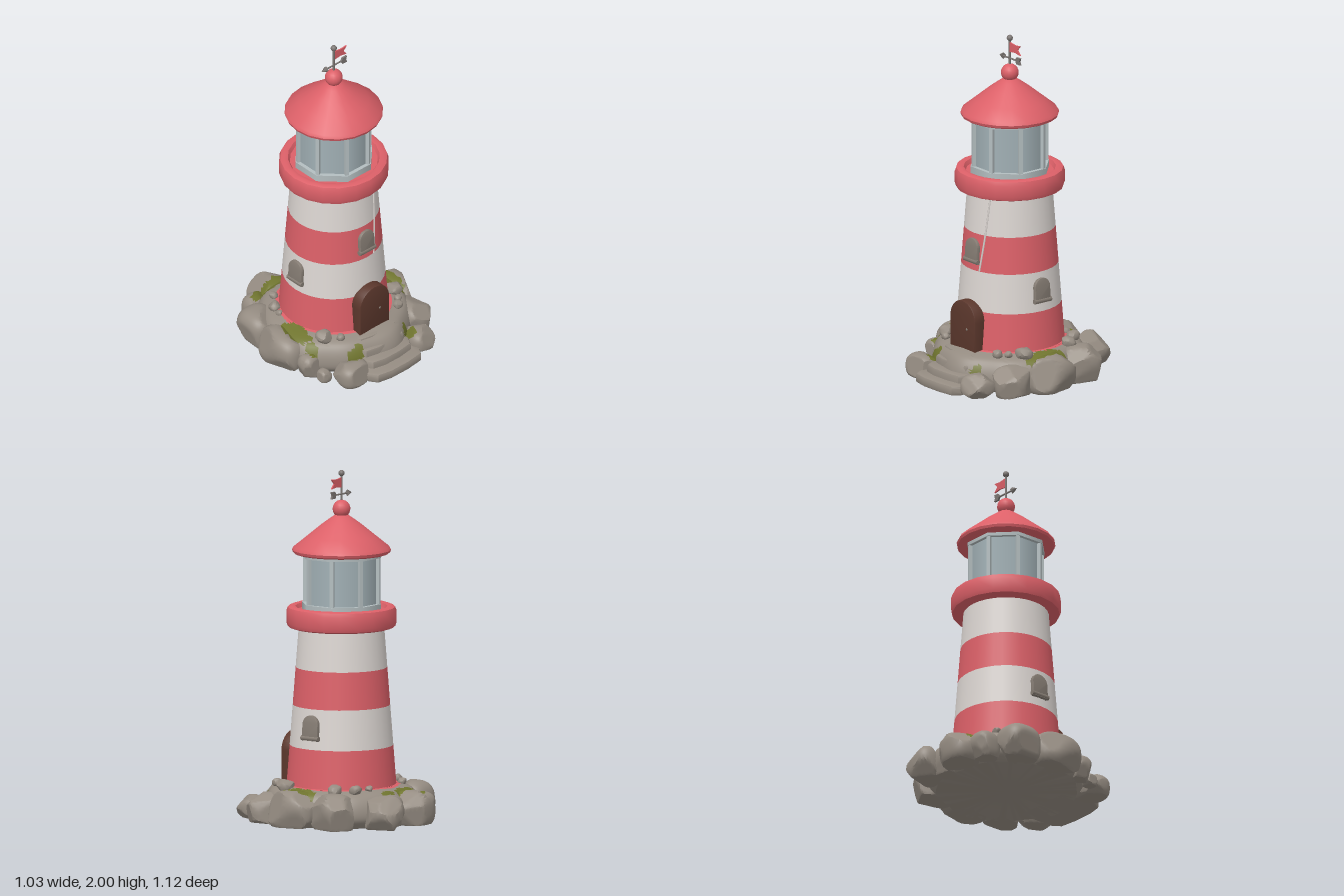
import * as THREE from 'three';
import { toCreasedNormals } from 'three/addons/utils/BufferGeometryUtils.js';

const mat = (name, color) => Object.assign(new THREE.MeshStandardMaterial({ color }), { name });
const RED = mat('coral red', 0xdc6068), WHITE = mat('warm white', 0xdcd6d2), STONE = mat('stone', 0x958c82);
const MOSS = mat('moss', 0x70752f), DARK = mat('dark wood', 0x5b372c), WOOD = mat('door wood', 0x6d4436);
const METAL = mat('metal', 0x7c7673), GLASS = mat('glass', 0xa3b2b7), FRAME = mat('lantern frame', 0xb4bec0);
const TRIM = mat('window stone', 0x857c73);
FRAME.side = RED.side = THREE.DoubleSide;

const AXIS_Z = -0.02;
const towerRadius = y => 0.312 - 0.0767 * (y - 0.2);
const V2 = (x, y) => new THREE.Vector2(x, y);

export function createModel() {
  const model = new THREE.Group();
  model.name = 'lighthouse';

  const add = (parent, name, geo, material, x = 0, y = 0, z = 0) => {
    const m = new THREE.Mesh(geo, material);
    m.name = name;
    m.position.set(x, y, z);
    parent.add(m);
    return m;
  };
  const lathe = (pts, seg, crease = 0.7) =>
    toCreasedNormals(new THREE.LatheGeometry(pts.map(p => V2(...p)), seg), crease);

  // ---------- Rocky island: faces sorted into stone, moss and red stain ----------
  // Moss patches: x, z, half width, half depth
  const patches = [[-0.15, -0.395, 0.15, 0.04], [0.06, -0.40, 0.05, 0.025], [-0.36, 0.05, 0.055, 0.11],
    [-0.37, 0.2, 0.03, 0.04], [0.375, 0.02, 0.05, 0.13], [-0.19, 0.38, 0.055, 0.035], [0.2, 0.4, 0.035, 0.045]];
  const isMoss = p => p.y > 0.07 && patches.some(([x, z, a, b]) =>
    ((p.x - x) / a) ** 2 + ((p.z - z) / b) ** 2 < 1 + 0.3 * Math.sin(p.x * 90) * Math.cos(p.z * 80));
  const isStain = p => p.y > 0.19 && Math.hypot(p.x, p.z - AXIS_Z) < 0.33;
  const paint = geo => {
    const pos = geo.attributes.position, lists = [[], [], []];
    const c = new THREE.Vector3(), v = new THREE.Vector3();
    for (let i = 0; i < pos.count; i += 3) {
      c.set(0, 0, 0);
      for (let k = 0; k < 3; k++) c.addScaledVector(v.fromBufferAttribute(pos, i + k), 1 / 3);
      lists[isMoss(c) ? 1 : isStain(c) ? 2 : 0].push(i, i + 1, i + 2);
    }
    geo.setIndex(lists.flat());
    let start = 0;
    lists.forEach((l, g) => { if (l.length) geo.addGroup(start, l.length, g); start += l.length; });
    return geo;
  };
  const ground = [STONE, MOSS, RED];
  const island = new THREE.Group();
  island.name = 'island';
  model.add(island);

  const shore = new THREE.SplineCurve([[0.4, 0], [0.44, 0.05], [0.435, 0.12], [0.4, 0.18], [0.34, 0.205], [0.29, 0.212]]
    .map(p => V2(...p))).getPoints(28);
  const mound = new THREE.LatheGeometry([V2(0, 0), ...shore, V2(0, 0.212)], 110);
  const mp = mound.attributes.position;
  for (let i = 0; i < mp.count; i++) {
    const x = mp.getX(i), z = mp.getZ(i), a = Math.atan2(x, z);
    const k = 1 + (Math.hypot(x, z) > 0.33 ? 0.025 * Math.sin(5 * a + 1) + 0.015 * Math.sin(9 * a) : 0);
    mp.setX(i, x * k);
    mp.setZ(i, z * k - 0.01);
  }
  add(island, 'mound', paint(toCreasedNormals(mound, 0.8)), ground);

  // Boulder: a squared-off ball chiselled by a few seeded planes, flat underneath
  let seed = 7;
  const rnd = () => (seed = (seed * 16807) % 2147483647) / 2147483647;
  const boulder = (x, y, z, rx, ry, rz, detail) => {
    const geo = new THREE.IcosahedronGeometry(1, detail), p = geo.attributes.position, v = new THREE.Vector3();
    const cuts = Array.from({ length: 9 }, () => new THREE.Vector4(
      ...new THREE.Vector3(rnd() - 0.5, rnd() - 0.4, rnd() - 0.5).normalize().toArray(), 0.8 + 0.15 * rnd()));
    const soft = t => Math.sign(t) * Math.abs(t) ** 0.72;
    for (let i = 0; i < p.count; i++) {
      v.fromBufferAttribute(p, i);
      v.set(soft(v.x), soft(v.y), soft(v.z));
      for (const c of cuts) {
        const over = v.x * c.x + v.y * c.y + v.z * c.z - c.w;
        if (over > 0) v.addScaledVector(c, -over);
      }
      p.setXYZ(i, x + v.x * rx, Math.max(0, y + v.y * ry), z + v.z * rz);
    }
    return paint(toCreasedNormals(geo, 0.55));
  };
  // x, z, half width, half depth, height
  [[-0.09, -0.45, 0.135, 0.115, 0.19], [0.18, -0.455, 0.105, 0.11, 0.19], [0.37, -0.24, 0.11, 0.13, 0.2],
    [0.4, 0.015, 0.112, 0.155, 0.205], [0.36, 0.25, 0.1, 0.115, 0.17], [0.25, 0.41, 0.085, 0.1, 0.13],
    [-0.25, 0.4, 0.1, 0.095, 0.13], [-0.36, 0.295, 0.04, 0.04, 0.07], [-0.39, 0.2, 0.065, 0.06, 0.14],
    [-0.405, 0, 0.108, 0.155, 0.205], [-0.37, -0.245, 0.11, 0.12, 0.2], [-0.25, -0.395, 0.08, 0.08, 0.16],
    [0.06, -0.4, 0.08, 0.08, 0.18]]
    .forEach(([x, z, rx, rz, h]) => add(island, 'boulder', boulder(x, h * 0.42, z, rx, h * 0.6, rz, 7), ground));

  // Pebbles around the foot of the tower
  [[0.14, -0.32, 0.022], [0.23, -0.295, 0.036], [0.31, -0.2, 0.04], [-0.225, -0.28, 0.026], [-0.29, -0.2, 0.033],
    [-0.315, -0.135, 0.018], [0.32, 0.135, 0.048], [0.28, 0.215, 0.022], [0.235, 0.258, 0.028], [-0.285, 0.205, 0.045],
    [-0.215, 0.272, 0.024]]
    .forEach(([x, z, r]) => add(island, 'pebble', toCreasedNormals(boulder(x, 0.215, z, r, r * 0.85, r, 2).toNonIndexed(), 0.6), STONE));

  // Steps leading up to the door: half width, front z, top y
  [[0.18, 0.55, 0.06], [0.155, 0.485, 0.105], [0.15, 0.425, 0.15], [0.14, 0.37, 0.2]].forEach(([w, z, h]) => {
    const b = 0.016, f = z - b, s = new THREE.Shape([V2(-w, -0.25), V2(w, -0.25), V2(w, -f + 0.05),
      V2(w * 0.85, -f + 0.012), V2(w * 0.3, -f), V2(-w * 0.4, -f), V2(-w * 0.85, -f + 0.016), V2(-w, -f + 0.055)].reverse());
    const geo = new THREE.ExtrudeGeometry(s, { depth: h - 2 * b, bevelSize: b, bevelThickness: b, bevelSegments: 2 });
    geo.rotateX(-Math.PI / 2);
    add(island, 'step', toCreasedNormals(geo, 0.7), STONE, 0, b, 0);
  });

  // ---------- Tower ----------
  const tower = new THREE.Group();
  tower.name = 'tower';
  tower.position.z = AXIS_Z;
  model.add(tower);
  const levels = [0.19, 0.43, 0.66, 0.875, 1.12];
  for (let i = 0; i < 4; i++) {
    const [a, b] = [levels[i], levels[i + 1]];
    add(tower, i % 2 ? 'whiteBand' : 'redBand',
      new THREE.CylinderGeometry(towerRadius(b), towerRadius(a), b - a, 32, 1, true), i % 2 ? WHITE : RED, 0, (a + b) / 2);
  }
  // Narrow pale seam down the front
  const seam = [[0.1, 1.1], [0.085, 0.88], [0.06, 0.66]].map(([x, y]) =>
    new THREE.Vector3(x, y, Math.sqrt(towerRadius(y) ** 2 - x * x)));
  add(tower, 'seam', new THREE.TubeGeometry(new THREE.CatmullRomCurve3(seam), 12, 0.006, 5), WHITE);

  add(tower, 'gallery', lathe([[0.22, 1.1], [0.285, 1.1], [0.305, 1.108], [0.313, 1.13], [0.313, 1.195], [0.305, 1.218],
    [0.285, 1.227], [0.262, 1.222], [0.25, 1.2], [0, 1.2]], 20), RED);

  // ---------- Lantern room ----------
  const ringGeo = (r, h) => new THREE.CylinderGeometry(r, r, h, 8, 1, false, Math.PI / 8);
  add(tower, 'lanternGlass', ringGeo(0.208, 0.32), GLASS, 0, 1.365);
  add(tower, 'lanternSill', ringGeo(0.232, 0.045), FRAME, 0, 1.217);
  add(tower, 'lanternHead', ringGeo(0.23, 0.025), FRAME, 0, 1.515);
  for (let i = 0; i < 8; i++) {
    const a = (i + 0.5) * Math.PI / 4;
    add(tower, 'lanternPost', new THREE.BoxGeometry(0.022, 0.3, 0.022), FRAME, 0.213 * Math.sin(a), 1.37, 0.213 * Math.cos(a))
      .rotation.y = a;
  }

  // ---------- Roof and weather vane ----------
  add(tower, 'roof', lathe([[0, 1.525], [0.26, 1.522], [0.276, 1.53], [0.281, 1.545], [0.272, 1.562], [0.2, 1.62],
    [0.12, 1.685], [0.065, 1.725], [0.035, 1.745], [0, 1.75]], 20), RED);
  add(tower, 'roofBall', new THREE.SphereGeometry(0.051, 16, 12), RED, 0, 1.778);
  const vane = new THREE.Group();
  vane.name = 'weatherVane';
  tower.add(vane);
  add(vane, 'pole', new THREE.CylinderGeometry(0.006, 0.006, 0.18, 8), METAL, 0, 1.89);
  add(vane, 'poleBall', new THREE.SphereGeometry(0.018, 12, 8), METAL, 0, 1.982);
  add(vane, 'arrowShaft', new THREE.CylinderGeometry(0.005, 0.005, 0.15, 6), METAL, 0, 1.862).rotation.z = Math.PI / 2;
  add(vane, 'arrowHead', new THREE.ConeGeometry(0.02, 0.038, 4), METAL, -0.075, 1.862).rotation.z = Math.PI / 2;
  const thin = (pts, depth) => new THREE.ExtrudeGeometry(new THREE.Shape(pts.map(p => V2(...p))), { depth, bevelEnabled: false });
  add(vane, 'arrowTail', thin([[0.055, 0], [0.065, -0.02], [0.097, -0.02], [0.09, 0], [0.097, 0.02], [0.065, 0.02]], 0.012),
    METAL, 0, 1.862, -0.006);
  add(vane, 'flag', thin([[0, -0.028], [0.05, -0.022], [0.097, -0.03], [0.072, 0], [0.097, 0.026], [0.05, 0.022], [0, 0.03]], 0.008),
    RED, 0, 1.928, -0.004);

  // ---------- Arched openings ----------
  const arch = (w, h, y0 = 0, Type = THREE.Shape) => {
    const s = new Type();
    s.moveTo(-w, y0);
    s.lineTo(w, y0);
    s.lineTo(w, h - w);
    s.absarc(0, h - w, w, 0, Math.PI, false);
    s.lineTo(-w, y0);
    return s;
  };
  const slab = (s, depth, bevel = 0) => toCreasedNormals(new THREE.ExtrudeGeometry(s, { depth: depth - bevel, curveSegments: 14,
    bevelEnabled: bevel > 0, bevelSize: bevel, bevelThickness: bevel, bevelOffset: -bevel, bevelSegments: 2 }), 0.6);
  const archFrame = (w, h, t, depth, bevel) => {
    const s = arch(w, h);
    s.holes.push(arch(w - t, h - t, t * 0.3, THREE.Path));
    return slab(s, depth, bevel);
  };

  const door = new THREE.Group();
  door.name = 'door';
  door.position.set(0, 0.2, 0);
  model.add(door);
  add(door, 'doorFrame', archFrame(0.112, 0.287, 0.03, 0.085, 0.006), DARK, 0, 0, 0.24);
  add(door, 'doorRecess', slab(arch(0.09, 0.265), 0.05), DARK, 0, 0, 0.246);
  add(door, 'doorLeaf', thin([[-0.05, 0.01], [0.08, 0.01], [0.08, 0.1], [-0.045, 0.155]], 0.009), WOOD, 0, 0, 0.296);
  add(door, 'doorKnob', new THREE.SphereGeometry(0.011, 10, 8), TRIM, 0.038, 0.125, 0.318);

  // Windows: turn about the tower and sill height
  [[0, 0.7], [Math.PI / 2, 0.48], [-Math.PI / 2, 0.48]].forEach(([turn, y]) => {
    const pivot = new THREE.Group(), win = new THREE.Group();
    pivot.name = 'window';
    win.name = 'windowBody';
    pivot.rotation.y = turn;
    win.position.set(0, y, towerRadius(y) - 0.012);
    win.rotation.x = -0.0766;
    pivot.add(win);
    tower.add(pivot);
    add(win, 'windowFrame', archFrame(0.054, 0.145, 0.016, 0.028, 0.004), TRIM);
    add(win, 'windowPane', slab(arch(0.045, 0.136), 0.016), WHITE);
    add(win, 'mullion', new THREE.BoxGeometry(0.009, 0.12, 0.012), TRIM, 0, 0.075, 0.017);
    add(win, 'transom', new THREE.BoxGeometry(0.085, 0.009, 0.012), TRIM, 0, 0.085, 0.017);
    add(win, 'windowSill', new THREE.CylinderGeometry(0.015, 0.015, 0.12, 10), TRIM, 0, 0.014, 0.018).rotation.z = Math.PI / 2;
  });

  return model;
}
